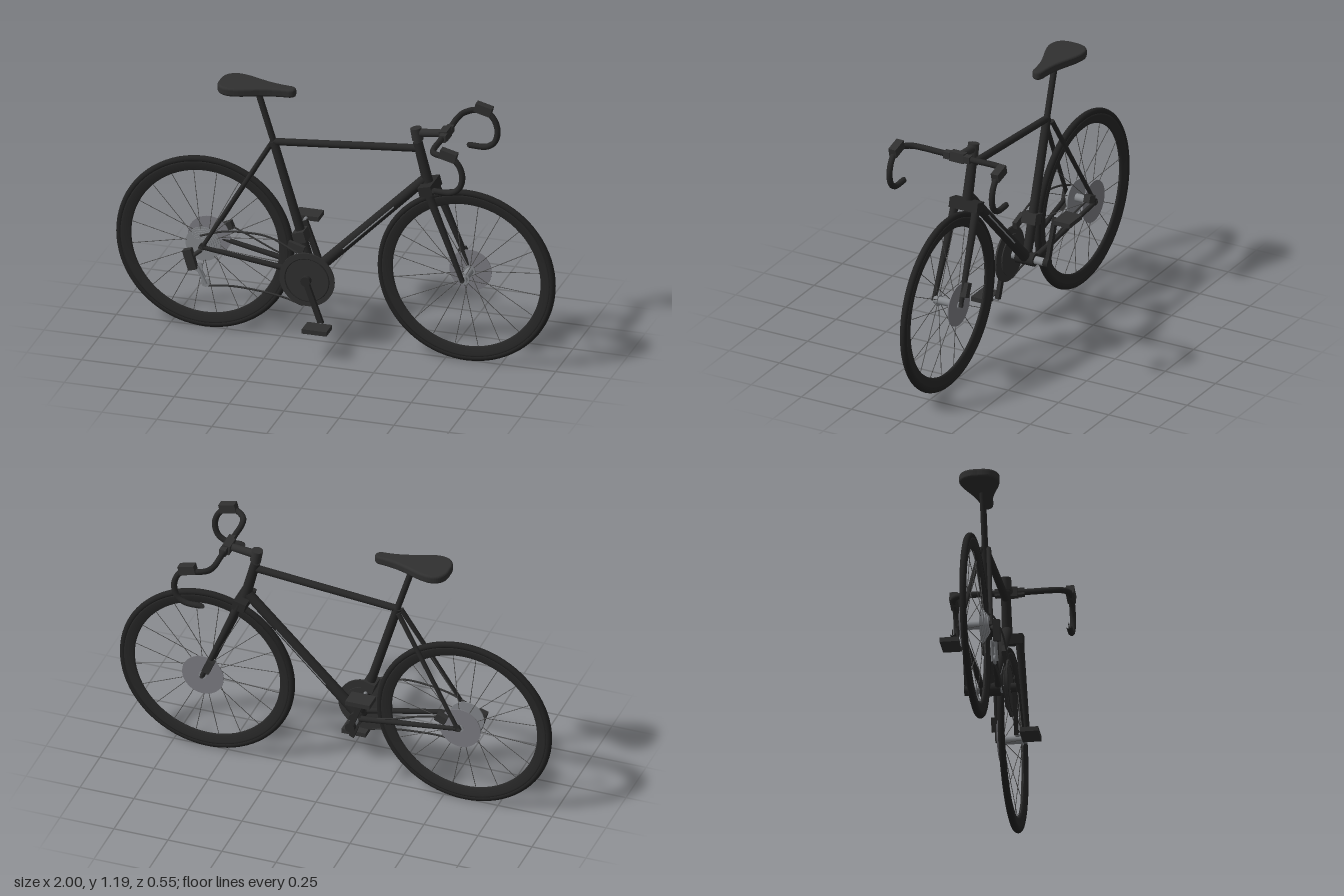
import * as THREE from 'three';

const mat = (name, color) => Object.assign(new THREE.MeshStandardMaterial({ color }), { name });
const V = (x, y, z = 0) => new THREE.Vector3(x, y, z);

export function createModel() {
  const root = new THREE.Group();
  root.name = 'roadBicycle';
  const frame = mat('frameBlack', 0x272727);
  const rubber = mat('tyreRubber', 0x222222);
  const dark = mat('darkComponents', 0x303030);
  const steel = mat('steel', 0x85888c);
  const rotorGrey = mat('rotorGrey', 0x7c7c82);
  const wire = mat('spokeGrey', 0x505050);

  const add = (name, geo, m, parent = root) => {
    const mesh = new THREE.Mesh(geo, m);
    mesh.name = name;
    parent.add(mesh);
    return mesh;
  };
  // Straight round tube from a to b
  const rod = (name, a, b, r1, r2, m, parent = root, sides = 16) => {
    const d = b.clone().sub(a);
    const mesh = add(name, new THREE.CylinderGeometry(r2, r1, d.length(), sides), m, parent);
    mesh.position.copy(a).add(b).multiplyScalar(0.5);
    mesh.quaternion.setFromUnitVectors(V(0, 1, 0), d.normalize());
    return mesh;
  };
  // Cylinder along the axle direction
  const disc = (name, x, y, z0, z1, r, m, parent = root, sides = 40) =>
    rod(name, V(x, y, z0), V(x, y, z1), r, r, m, parent, sides);
  const bent = (name, pts, r, m, n = 40) =>
    add(name, new THREE.TubeGeometry(new THREE.CatmullRomCurve3(pts), n, r, 10), m);
  const box = (name, x, y, z, w, h, d, m, tilt = 0) => {
    const mesh = add(name, new THREE.BoxGeometry(w, h, d), m);
    mesh.position.set(x, y, z);
    mesh.rotation.z = tilt;
    return mesh;
  };

  // Wheels: tyre, deep rim, spokes, hub and brake rotor
  const axleX = 0.595, axleY = 0.405;
  const rimProfile = [[0.336, 0], [0.342, -0.009], [0.375, -0.0125], [0.385, -0.0125],
    [0.385, 0.0125], [0.375, 0.0125], [0.342, 0.009], [0.336, 0]].map(p => new THREE.Vector2(...p));
  for (const side of [-1, 1]) {
    const wheel = new THREE.Group();
    wheel.name = side > 0 ? 'frontWheel' : 'rearWheel';
    wheel.position.set(side * axleX, axleY, 0);
    root.add(wheel);
    add('tyre', new THREE.TorusGeometry(0.39, 0.015, 12, 80), rubber, wheel);
    add('rim', new THREE.LatheGeometry(rimProfile, 80), frame, wheel).rotation.x = Math.PI / 2;
    for (let i = 0; i < 20; i++) {
      const a = (i + 0.5) * Math.PI / 10, c = Math.cos(a), s = Math.sin(a);
      rod('spoke', V(0.02 * c, 0.02 * s, i % 2 ? 0.042 : -0.042), V(0.34 * c, 0.34 * s, 0),
        0.0016, 0.0016, wire, wheel, 5);
    }
    disc('hub', 0, 0, -0.062, 0.062, 0.018, steel, wheel, 24);
    for (const z of [-0.042, 0.042]) disc('hubFlange', 0, 0, z - 0.003, z + 0.003, 0.026, steel, wheel, 24);
    disc('axle', 0, 0, -0.075, 0.075, 0.009, dark, wheel, 16);
    disc('brakeRotor', 0, 0, -0.0585, -0.0545, 0.096, rotorGrey, wheel, 48);
  }
  // Stepped cassette on the drive side
  for (let i = 0; i < 6; i++)
    disc('cassetteSprocket', -axleX, axleY, 0.028 + i * 0.006, 0.032 + i * 0.006, 0.08 - i * 0.008, steel);

  // Main frame tubes
  const bb = V(-0.105, 0.325), seatTop = V(-0.285, 0.925);
  rod('seatTube', bb, seatTop, 0.021, 0.019, frame);
  rod('seatPost', V(-0.28, 0.91), V(-0.358, 1.16), 0.014, 0.014, frame);
  rod('topTube', V(-0.283, 0.922), V(0.378, 0.98), 0.016, 0.017, frame);
  rod('downTube', bb, V(0.408, 0.84), 0.025, 0.023, frame);
  rod('headTube', V(0.425, 0.80), V(0.372, 1.01), 0.024, 0.021, frame);
  rod('steererSpacer', V(0.375, 1.0), V(0.362, 1.06), 0.016, 0.016, dark);
  disc('bottomBracketShell', bb.x, bb.y, -0.045, 0.045, 0.03, frame);
  disc('crankAxle', bb.x, bb.y, -0.1, 0.1, 0.018, steel, root, 20);
  // Slim bright inserts on both flanks of the down tube
  for (const s of [-1, 1]) rod('downTubeInsert', V(0.04, 0.463, s * 0.0215), V(0.27, 0.694, s * 0.0205), 0.004, 0.004, steel, root, 8);

  // Stays, dropouts and fork blades, mirrored
  for (const s of [-1, 1]) {
    rod('seatStay', V(-0.295, 0.91, s * 0.018), V(-0.58, 0.42, s * 0.068), 0.011, 0.009, frame);
    rod('chainStay', V(-0.11, 0.328, s * 0.034), V(-0.58, 0.405, s * 0.068), 0.014, 0.01, frame);
    disc('dropout', -axleX + 0.01, axleY + 0.005, s * 0.062, s * 0.074, 0.016, frame, root, 16);
    rod('forkBlade', V(0.428, 0.815, s * 0.052), V(axleX, axleY, s * 0.066), 0.019, 0.011, frame);
  }
  box('forkCrown', 0.427, 0.806, 0, 0.06, 0.045, 0.14, frame, 0.25);

  // Saddle, wide at the back with a narrow nose
  const outline = new THREE.Shape();
  outline.moveTo(-0.52, 0);
  outline.bezierCurveTo(-0.525, 0.05, -0.5, 0.08, -0.455, 0.078);
  outline.bezierCurveTo(-0.38, 0.07, -0.34, 0.024, -0.21, 0.016);
  outline.quadraticCurveTo(-0.192, 0.012, -0.192, 0);
  outline.quadraticCurveTo(-0.192, -0.012, -0.21, -0.016);
  outline.bezierCurveTo(-0.34, -0.024, -0.38, -0.07, -0.455, -0.078);
  outline.bezierCurveTo(-0.5, -0.08, -0.525, -0.05, -0.52, 0);
  const saddleGeo = new THREE.ExtrudeGeometry(outline, {
    depth: 0.018, bevelEnabled: true, bevelSize: 0.01, bevelThickness: 0.011, bevelSegments: 4, curveSegments: 14 });
  const saddle = add('saddle', saddleGeo, dark);
  saddle.rotation.x = Math.PI / 2;
  saddle.position.y = 1.177;

  // Stem, handlebar with drops, and brake hoods
  rod('stemClamp', V(0.373, 1.02), V(0.363, 1.075), 0.025, 0.025, dark);
  rod('stem', V(0.365, 1.052), V(0.49, 1.066), 0.019, 0.017, dark);
  box('barClamp', 0.498, 1.066, 0, 0.036, 0.044, 0.07, dark, 0.1);
  const half = [V(0.5, 1.067, 0.09), V(0.5, 1.068, 0.17), V(0.512, 1.072, 0.22), V(0.55, 1.077, 0.252),
    V(0.6, 1.075, 0.255), V(0.637, 1.045, 0.255), V(0.655, 0.99, 0.255), V(0.642, 0.935, 0.255),
    V(0.605, 0.908, 0.255), V(0.528, 0.906, 0.255)];
  const mirrored = half.map(p => V(p.x, p.y, -p.z)).reverse();
  bent('handlebar', [...mirrored, V(0.499, 1.066), ...half], 0.0135, frame, 140);
  for (const s of [-1, 1]) {
    disc('barEndPlug', 0.528, 0.906, s * 0.255 - 0.001, s * 0.255 + 0.001, 0.0135, dark, root, 12);
    box('brakeHood', 0.592, 1.085, s * 0.255, 0.076, 0.042, 0.036, dark, -0.25);
    box('barCollar', 0.503, 1.067, s * 0.05, 0.03, 0.032, 0.03, dark);
  }

  // Chainring, cranks and pedals
  disc('chainring', bb.x, bb.y, 0.081, 0.089, 0.125, dark, root, 64);
  add('chainringLip', new THREE.TorusGeometry(0.1, 0.003, 6, 60), frame).position.set(bb.x, bb.y, 0.089);
  disc('innerChainring', bb.x, bb.y, 0.068, 0.073, 0.095, dark, root, 48);
  for (const s of [-1, 1]) {
    const px = bb.x + s * 0.07, py = bb.y - s * 0.193;
    disc('crankBoss', bb.x, bb.y, s * 0.09, s * 0.114, 0.022, frame, root, 24);
    const len = Math.hypot(0.07, 0.193);
    box('crankArm', (bb.x + px) / 2, (bb.y + py) / 2, s * 0.104, 0.024, len, 0.018, frame, Math.atan2(0.07, 0.193));
    disc('pedalSpindle', px, py, s * 0.1, s * 0.13, 0.008, steel, root, 12);
    box('pedal', px, py, s * 0.165, 0.112, 0.021, 0.082, dark);
  }

  // Disc brake calipers
  box('frontCaliper', 0.563, 0.468, -0.073, 0.035, 0.065, 0.03, dark, 0.4);
  box('rearCaliper', -0.518, 0.455, -0.08, 0.05, 0.036, 0.03, dark, 0.4);

  // Rear derailleur with cage and jockey wheels
  box('rearDerailleurBody', -0.632, 0.358, 0.1, 0.04, 0.095, 0.03, dark, 0.3);
  rod('derailleurHanger', V(-0.59, 0.395, 0.075), V(-0.625, 0.37, 0.095), 0.01, 0.01, dark);
  for (const z of [0.074, 0.09]) rod('derailleurCage', V(-0.605, 0.325, z), V(-0.565, 0.243, z), 0.008, 0.008, steel, root, 10);
  disc('upperJockeyWheel', -0.602, 0.318, 0.077, 0.087, 0.022, steel, root, 20);
  disc('lowerJockeyWheel', -0.568, 0.248, 0.077, 0.087, 0.02, steel, root, 20);
  // Front derailleur
  box('frontDerailleurClamp', -0.157, 0.495, 0.005, 0.055, 0.05, 0.07, dark, 0.29);
  box('frontDerailleurCage', -0.16, 0.465, 0.07, 0.075, 0.035, 0.02, dark, -0.3);

  // Chain runs and brake hose
  bent('lowerChain', [V(-0.568, 0.231, 0.08), V(-0.45, 0.245, 0.08), V(-0.3, 0.237, 0.08), V(-0.2, 0.222, 0.082), V(-0.125, 0.2, 0.085)], 0.0045, dark);
  bent('upperChain', [V(-0.6, 0.455, 0.058), V(-0.5, 0.49, 0.064), V(-0.41, 0.503, 0.07), V(-0.28, 0.5, 0.078), V(-0.15, 0.445, 0.084)], 0.0045, dark);
  bent('rearBrakeHose', [V(-0.5, 0.455, -0.08), V(-0.42, 0.43, -0.065), V(-0.28, 0.375, -0.05), V(-0.14, 0.335, -0.036)], 0.004, dark);
  return root;
}
